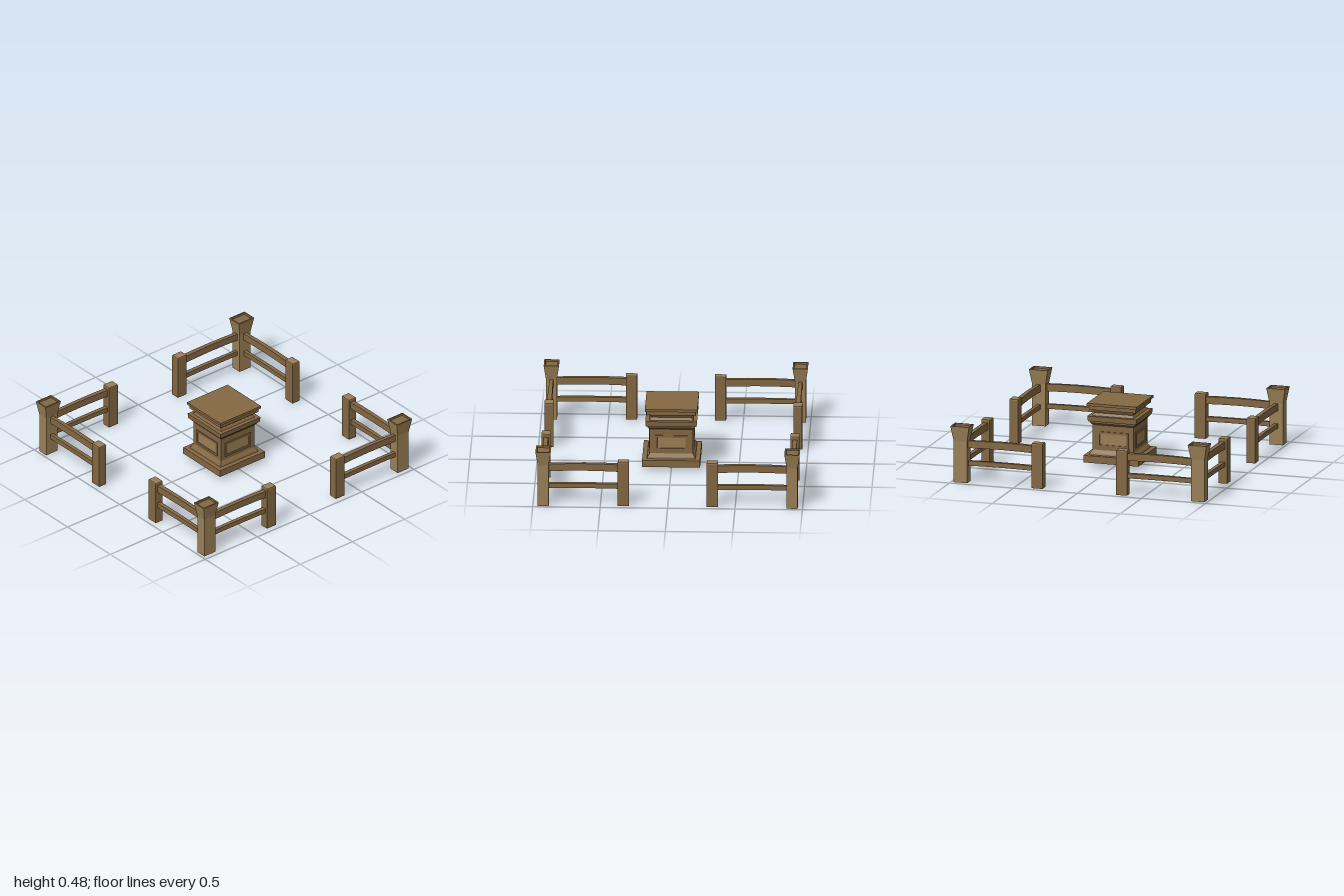
import * as THREE from 'three';

const dark = new THREE.MeshStandardMaterial({ color: 0x846843, flatShading: true });
const light = new THREE.MeshStandardMaterial({ color: 0x9a7f56, flatShading: true });

// Closed solid lofted upward through rectangles [y, halfX, halfZ]
function loft(rings, capped = true) {
  const pos = [];
  const corners = ([y, a, b]) => [[-a, y, b], [a, y, b], [a, y, -b], [-a, y, -b]];
  const quad = (a, b, c, d) => pos.push(...a, ...b, ...c, ...a, ...c, ...d);
  for (let i = 0; i < rings.length - 1; i++) {
    const lo = corners(rings[i]), hi = corners(rings[i + 1]);
    for (let k = 0; k < 4; k++) {
      const n = (k + 1) % 4;
      quad(lo[k], lo[n], hi[n], hi[k]);
    }
  }
  const [a, b, c, d] = corners(rings[0]);
  quad(d, c, b, a);
  if (capped) quad(...corners(rings[rings.length - 1]));
  const geo = new THREE.BufferGeometry();
  geo.setAttribute('position', new THREE.Float32BufferAttribute(pos, 3));
  geo.computeVertexNormals();
  return geo;
}

function add(parent, name, geo, mat, x = 0, y = 0, z = 0) {
  const mesh = new THREE.Mesh(geo, mat);
  mesh.name = name;
  mesh.position.set(x, y, z);
  parent.add(mesh);
  return mesh;
}

// Rail along x with a slight bow and uneven hand-hewn thickness
function railGeometry(length, height, depth, bow) {
  const geo = new THREE.BoxGeometry(length, height, depth, 4, 1, 1);
  const p = geo.attributes.position;
  for (let i = 0; i < p.count; i++) {
    const t = p.getX(i) / length;
    p.setY(i, p.getY(i) + bow * Math.cos(t * Math.PI));
    p.setZ(i, p.getZ(i) * (1 + 0.25 * t));
  }
  geo.computeVertexNormals();
  return geo;
}

// One fence wing running along +x from the corner at the origin
function buildWing(length, startX) {
  const wing = new THREE.Group();
  wing.name = 'fenceWing';
  const railLength = length - startX;
  const mid = (length + startX) / 2;
  add(wing, 'upperRail', railGeometry(railLength, 0.055, 0.032, 0.007), dark, mid, 0.289);
  add(wing, 'lowerRail', railGeometry(railLength, 0.036, 0.03, 0.003), dark, mid, 0.146);
  add(wing, 'endPost', loft([[0, 0.042, 0.033], [0.335, 0.042, 0.033]]), dark, length);
  add(wing, 'endPostCap', loft([[0.335, 0.042, 0.033], [0.342, 0.041, 0.032]]), light, length);
  return wing;
}

// Corner section, with (sx, sz) choosing the quadrant
function buildCorner(sx, sz) {
  const corner = new THREE.Group();
  corner.name = 'cornerFence';
  corner.position.set(sx * 0.927, 0, sz * 0.923);
  add(corner, 'cornerPost', loft([
    [0, 0.053, 0.041], [0.32, 0.053, 0.041], [0.43, 0.073, 0.057],
  ], false), light);
  // Shallow recessed top inside a thin rim
  add(corner, 'cornerPostTop', loft([
    [0.41, 0.069, 0.053], [0.43, 0.073, 0.057], [0.43, 0.062, 0.046], [0.418, 0.06, 0.044],
  ]), dark);
  const along = buildWing(0.597, 0.03);
  along.rotation.y = sx > 0 ? Math.PI : 0;
  const across = buildWing(0.593, 0.03);
  across.rotation.y = sz > 0 ? Math.PI / 2 : -Math.PI / 2;
  corner.add(along, across);
  return corner;
}

function buildPedestal() {
  const pedestal = new THREE.Group();
  pedestal.name = 'pedestal';
  // Moulded square profile from base to top slab: [y, half width]
  const profile = [
    [0.035, 0.215], [0.088, 0.215], [0.088, 0.18], [0.1, 0.176], [0.125, 0.16],
    [0.315, 0.16], [0.33, 0.174], [0.345, 0.176], [0.345, 0.188], [0.385, 0.192],
    [0.385, 0.163], [0.405, 0.15], [0.432, 0.165], [0.432, 0.182], [0.463, 0.182],
    [0.463, 0.195], [0.483, 0.195],
  ];
  add(pedestal, 'pedestalBody', loft(profile.map(([y, w]) => [y, w, w])), dark);

  // Framed panel on each side
  const rect = (target, w, h) => {
    target.moveTo(-w, -h).lineTo(w, -h).lineTo(w, h).lineTo(-w, h).lineTo(-w, -h);
    return target;
  };
  const frameShape = rect(new THREE.Shape(), 0.12, 0.058);
  frameShape.holes.push(rect(new THREE.Path(), 0.104, 0.042));
  const frameGeo = new THREE.ExtrudeGeometry(frameShape, { depth: 0.01, bevelEnabled: false });
  const panelGeo = new THREE.BoxGeometry(0.208, 0.084, 0.006);
  for (let i = 0; i < 4; i++) {
    const side = new THREE.Group();
    side.name = 'sidePanel';
    side.rotation.y = i * Math.PI / 2;
    add(side, 'panelFrame', frameGeo, dark, 0, 0.209, 0.158);
    add(side, 'panelInset', panelGeo, light, 0, 0.209, 0.159);
    pedestal.add(side);
  }
  return pedestal;
}

export function createModel() {
  const model = new THREE.Group();
  model.name = 'fencedPedestal';
  model.add(buildPedestal());
  for (const sx of [-1, 1]) for (const sz of [-1, 1]) model.add(buildCorner(sx, sz));
  return model;
}
